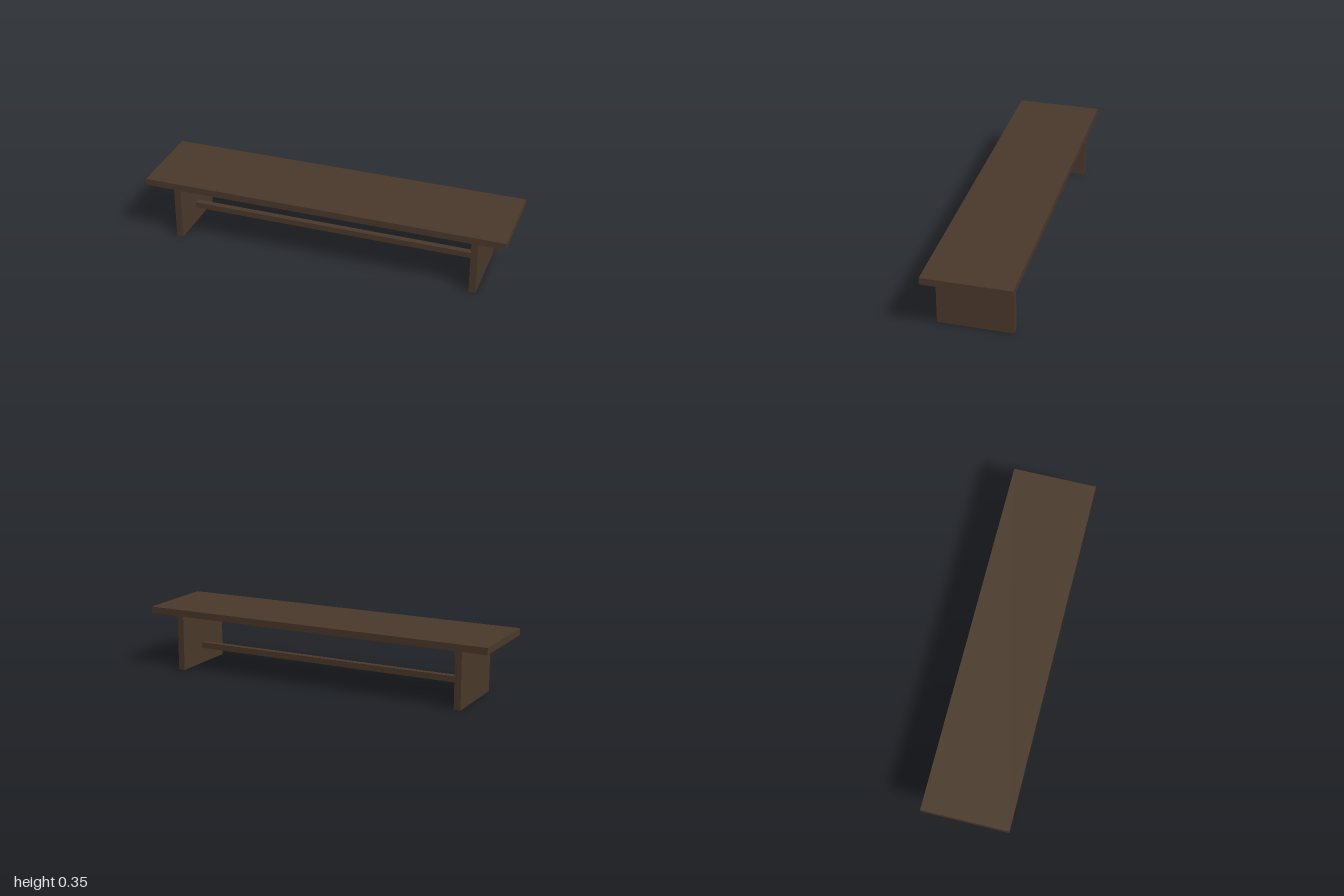
import * as THREE from 'three';

export function createModel() {
  const group = new THREE.Group();
  const darkWood = new THREE.MeshStandardMaterial({ color: 0x4b392b });
  darkWood.name = 'darkWood';

  const addBoard = (name, size, x, y) => {
    const mesh = new THREE.Mesh(new THREE.BoxGeometry(...size), darkWood);
    mesh.name = name;
    mesh.position.set(x, y, 0);
    group.add(mesh);
  };

  // Overhanging seat board
  addBoard('seat', [2, 0.037, 0.467], 0, 0.3345);

  // Solid panel legs
  for (const [name, side] of [['leftLeg', 1], ['rightLeg', -1]]) {
    addBoard(name, [0.037, 0.316, 0.4], side * 0.833, 0.158);
  }

  // Stretcher bar between the legs
  addBoard('stretcher', [1.63, 0.033, 0.033], 0, 0.104);

  return group;
}
